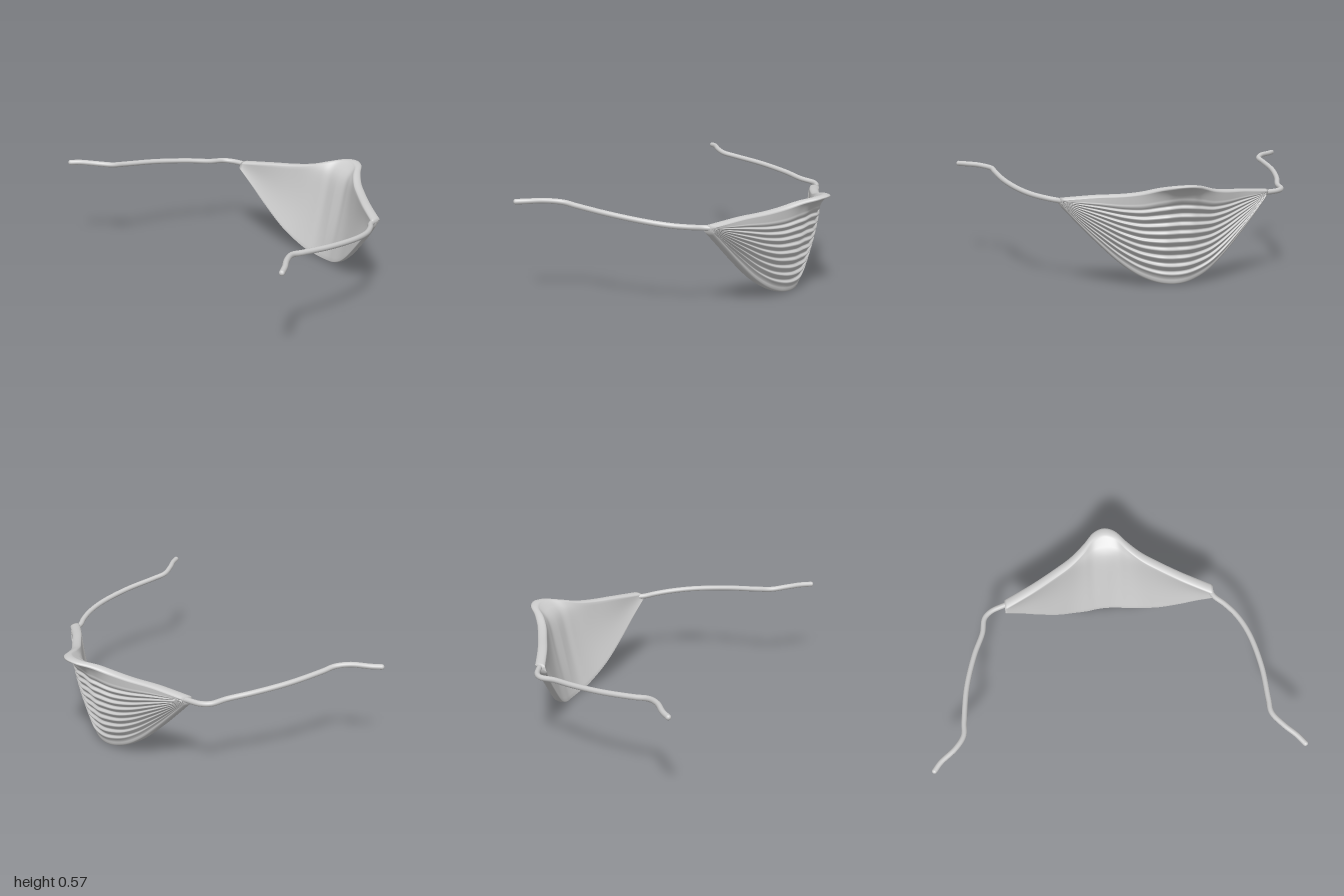
import * as THREE from 'three';

const fabric = new THREE.MeshStandardMaterial({ color: 0xcccccc });
fabric.name = 'light grey fabric';

const MID_Z = 0.015;

// Mirrors half an edge, given from centre to end as [x, y, z], into a full curve
function edgeCurve(half) {
  const pts = half.slice(1).reverse().map(([x, y, z]) => new THREE.Vector3(x, y, MID_Z - z));
  half.forEach(([x, y, z]) => pts.push(new THREE.Vector3(x, y, MID_Z + z)));
  return new THREE.CatmullRomCurve3(pts);
}

const topEdge = edgeCurve([
  [0.675, 0.55, 0], [0.655, 0.545, 0.06], [0.595, 0.53, 0.12], [0.53, 0.505, 0.2],
  [0.475, 0.49, 0.29], [0.405, 0.48, 0.41], [0.36, 0.47, 0.5], [0.32, 0.46, 0.585],
]);
const bottomEdge = edgeCurve([
  [0.46, 0.008, 0], [0.455, 0.013, 0.06], [0.44, 0.028, 0.12], [0.42, 0.065, 0.2],
  [0.39, 0.13, 0.29], [0.355, 0.245, 0.41], [0.33, 0.34, 0.5], [0.30, 0.435, 0.585],
]);

// Point on the shell at s (end to end) and v (top to bottom)
function shellPoint(s, v, inner) {
  const a = topEdge.getPoint(s), b = bottomEdge.getPoint(s);
  const u = Math.abs(s * 2 - 1);
  const nose = 0.08 * Math.exp(-(((a.z - MID_Z) / 0.11) ** 2));
  const p = a.clone().lerp(b, v);
  p.x += nose * (Math.exp(-v / 0.06) - (1 - v));
  p.x += 0.018 * Math.sin(Math.PI * v) * (1 - u * u) * u * 2;
  if (inner) {
    p.x -= THREE.MathUtils.lerp(0.06, 0.05, v);
  } else {
    // Horizontal pleats that fan together at the ends
    const t = (v - 0.12) / 0.86;
    if (t > 0 && t < 1) {
      const phase = t * 10 * Math.PI * 2;
      const fade = Math.min(1, t * 12, (1 - t) * 12) * (1 - u ** 5);
      p.x += 0.008 * fade * Math.sin(phase + 0.5 * Math.sin(phase));
    }
  }
  return p;
}

// Closed cross-section: outside down, rounded hem, inside up, rounded hem
function crossSection(s) {
  const OUT = 100, IN = 24, HEM = 6;
  const loop = [];
  const hem = (from, to, dy) => {
    for (let k = 1; k < HEM; k++) {
      const a = (k / HEM) * Math.PI;
      const p = from.clone().lerp(to, (1 - Math.cos(a)) / 2);
      p.y += dy * Math.sin(a);
      loop.push(p);
    }
  };
  for (let j = 0; j <= OUT; j++) loop.push(shellPoint(s, j / OUT, false));
  hem(shellPoint(s, 1, false), shellPoint(s, 1, true), -0.009);
  for (let j = IN; j >= 0; j--) loop.push(shellPoint(s, j / IN, true));
  hem(shellPoint(s, 0, true), shellPoint(s, 0, false), 0.012);
  return loop;
}

function maskGeometry() {
  const COLS = 96, pos = [], index = [];
  let n = 0;
  for (let i = 0; i <= COLS; i++) {
    const loop = crossSection(i / COLS);
    n = loop.length;
    loop.forEach((p) => pos.push(p.x, p.y, p.z));
  }
  for (let i = 0; i < COLS; i++) {
    for (let j = 0; j < n; j++) {
      const k = (j + 1) % n;
      const a = i * n + j, b = a + n, c = i * n + k, d = c + n;
      index.push(a, b, c, b, d, c);
    }
  }
  // Closed ends
  [0, 1].forEach((s) => {
    const mid = shellPoint(s, 0.5, false).lerp(shellPoint(s, 0.5, true), 0.5);
    const centre = pos.length / 3, base = s * COLS * n;
    pos.push(mid.x, mid.y, mid.z);
    for (let j = 0; j < n; j++) {
      const a = base + j, b = base + ((j + 1) % n);
      if (s === 0) index.push(centre, a, b);
      else index.push(centre, b, a);
    }
  });
  const g = new THREE.BufferGeometry();
  g.setAttribute('position', new THREE.Float32BufferAttribute(pos, 3));
  g.setIndex(index);
  g.computeVertexNormals();
  return g;
}

// Ear strap: a round cord with rounded ends
function strap(name, points) {
  const group = new THREE.Group();
  group.name = name;
  const pts = points.map((p) => new THREE.Vector3(...p));
  const cord = new THREE.Mesh(
    new THREE.TubeGeometry(new THREE.CatmullRomCurve3(pts), 90, 0.015, 12), fabric);
  cord.name = name + 'Cord';
  group.add(cord);
  [pts[0], pts[pts.length - 1]].forEach((p) => {
    const end = new THREE.Mesh(new THREE.SphereGeometry(0.015, 12, 8), fabric);
    end.name = name + 'End';
    end.position.copy(p);
    group.add(end);
  });
  return group;
}

export function createModel() {
  const model = new THREE.Group();
  model.name = 'faceMask';

  const mask = new THREE.Mesh(maskGeometry(), fabric);
  mask.name = 'pleatedMask';
  model.add(mask);

  model.add(strap('leftSideStrap', [
    [-0.67, 0.557, 0.985], [-0.62, 0.558, 0.945], [-0.56, 0.556, 0.885], [-0.48, 0.546, 0.828],
    [-0.4, 0.535, 0.822], [-0.2, 0.512, 0.81], [0, 0.487, 0.768], [0.12, 0.47, 0.715],
    [0.2, 0.459, 0.655], [0.25, 0.452, 0.605], [0.285, 0.45, 0.585],
  ]));
  model.add(strap('rightSideStrap', [
    [-0.665, 0.557, -0.985], [-0.62, 0.558, -0.95], [-0.55, 0.556, -0.87], [-0.48, 0.546, -0.825],
    [-0.4, 0.535, -0.82], [-0.2, 0.512, -0.8], [0, 0.487, -0.75], [0.13, 0.468, -0.702],
    [0.22, 0.458, -0.687], [0.26, 0.454, -0.65], [0.295, 0.452, -0.565],
  ]));
  return model;
}
